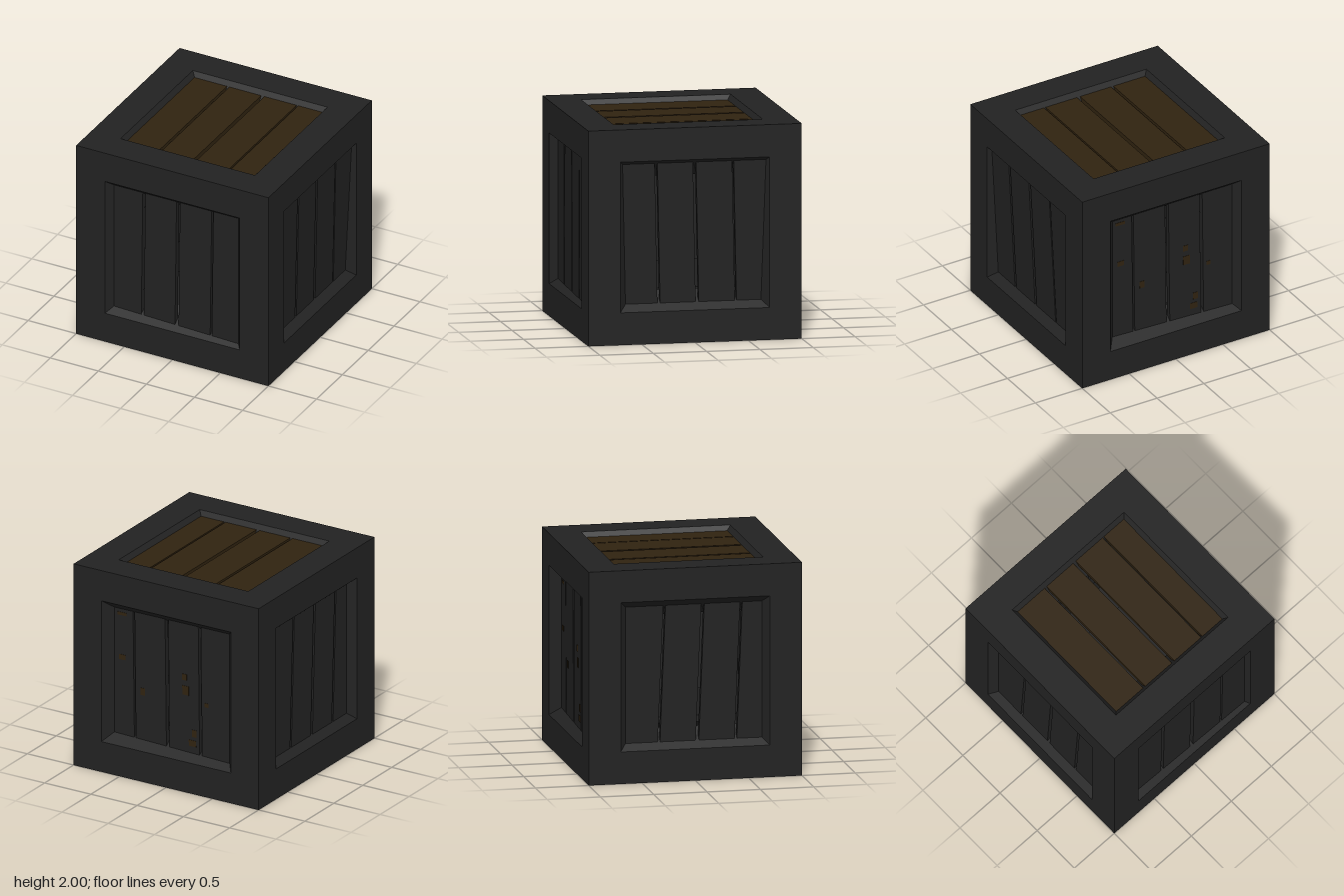
import * as THREE from 'three';

const black = new THREE.MeshStandardMaterial({ color: 0x222222 });
black.name = 'blackened wood';
const brown = new THREE.MeshStandardMaterial({ color: 0x302310 });
brown.name = 'dark brown wood';

// One side of the frame: flat rim, sloping reveal and inner face, as square rings
function frameGeometry() {
  const profile = [[1, 1], [0.7, 1], [0.53, 0.79], [0.79, 0.79]]
    .map(([half, depth]) => new THREE.Vector2(half * Math.SQRT2, depth));
  const geometry = new THREE.LatheGeometry(profile, 4, Math.PI / 4)
    .rotateX(Math.PI / 2).toNonIndexed();
  geometry.computeVertexNormals();
  return geometry;
}

const THICK = 0.05, REACH = 0.75, PITCH = 0.36;

// Four upright planks with uneven gaps; front surface lies on local z = 0
function plankPanel({ shift, gaps, material }) {
  const panel = new THREE.Group();
  for (let i = 0; i < 4; i++) {
    const left = i === 0 ? -REACH : (i - 2) * PITCH + shift + gaps[i - 1] / 2;
    const right = i === 3 ? REACH : (i - 1) * PITCH + shift - gaps[i] / 2;
    const plank = new THREE.Mesh(
      new THREE.BoxGeometry(right - left, REACH * 2, THICK), material);
    plank.position.set((left + right) / 2, 0, -THICK / 2);
    plank.name = 'plank';
    panel.add(plank);
  }
  return panel;
}

const H = Math.PI / 2;
// turn: orientation of the side; tilt: how crookedly its planks are set
const SIDES = [
  { name: 'front', turn: [0, 0], depth: 0.056, tilt: [0, -0.021, -0.012], shift: 0.025, gaps: [0.028, 0.038, 0.018] },
  { name: 'left', turn: [0, H], depth: 0.058, tilt: [0.035, 0, 0.027], shift: 0.02, gaps: [0.026, 0.03, 0.016] },
  { name: 'back', turn: [0, Math.PI], depth: 0.085, tilt: [0, -0.022, 0.012], shift: -0.04, gaps: [0.018, 0.036, 0.028] },
  { name: 'right', turn: [0, -H], depth: 0.075, tilt: [0, 0, -0.04], shift: 0.06, gaps: [0.022, 0.03, 0.022] },
  { name: 'top', turn: [-H, 0], depth: 0.045, tilt: [0, 0, 0], shift: 0.047, gaps: [0.025, 0.033, 0.016], material: brown },
  { name: 'bottom', turn: [H, 0], depth: 0.07, tilt: [0, 0, 0], shift: 0.043, gaps: [0.025, 0.033, 0.02] },
];

// Worn brown spots on the back planks: x, y, width, height
const SPOTS = [
  [-0.53, 0.15, 0.07, 0.05], [-0.31, -0.145, 0.05, 0.07], [0.15, 0.1, 0.05, 0.06],
  [0.16, -0.03, 0.07, 0.09], [0.39, -0.13, 0.04, 0.04], [0.25, -0.44, 0.05, 0.07],
  [0.23, -0.54, 0.08, 0.06], [-0.53, 0.58, 0.1, 0.03],
];

export function createModel() {
  const crate = new THREE.Group();
  crate.name = 'crate';
  const rim = frameGeometry();

  for (const side of SIDES) {
    const group = new THREE.Group();
    group.name = side.name + 'Side';
    group.rotation.set(side.turn[0], side.turn[1], 0);
    group.position.y = 1;

    const frame = new THREE.Mesh(rim, black);
    frame.name = side.name + 'Frame';
    group.add(frame);

    const panel = plankPanel({ ...side, material: side.material ?? black });
    panel.name = side.name + 'Planks';
    panel.rotation.set(...side.tilt);
    panel.position.z = 1 - side.depth;
    group.add(panel);

    if (side.name === 'back') {
      for (const [x, y, w, h] of SPOTS) {
        const spot = new THREE.Mesh(new THREE.BoxGeometry(w, h, 0.004), brown);
        spot.position.set(x, y, 0.001);
        spot.name = 'wornSpot';
        panel.add(spot);
      }
    }
    crate.add(group);
  }
  return crate;
}
